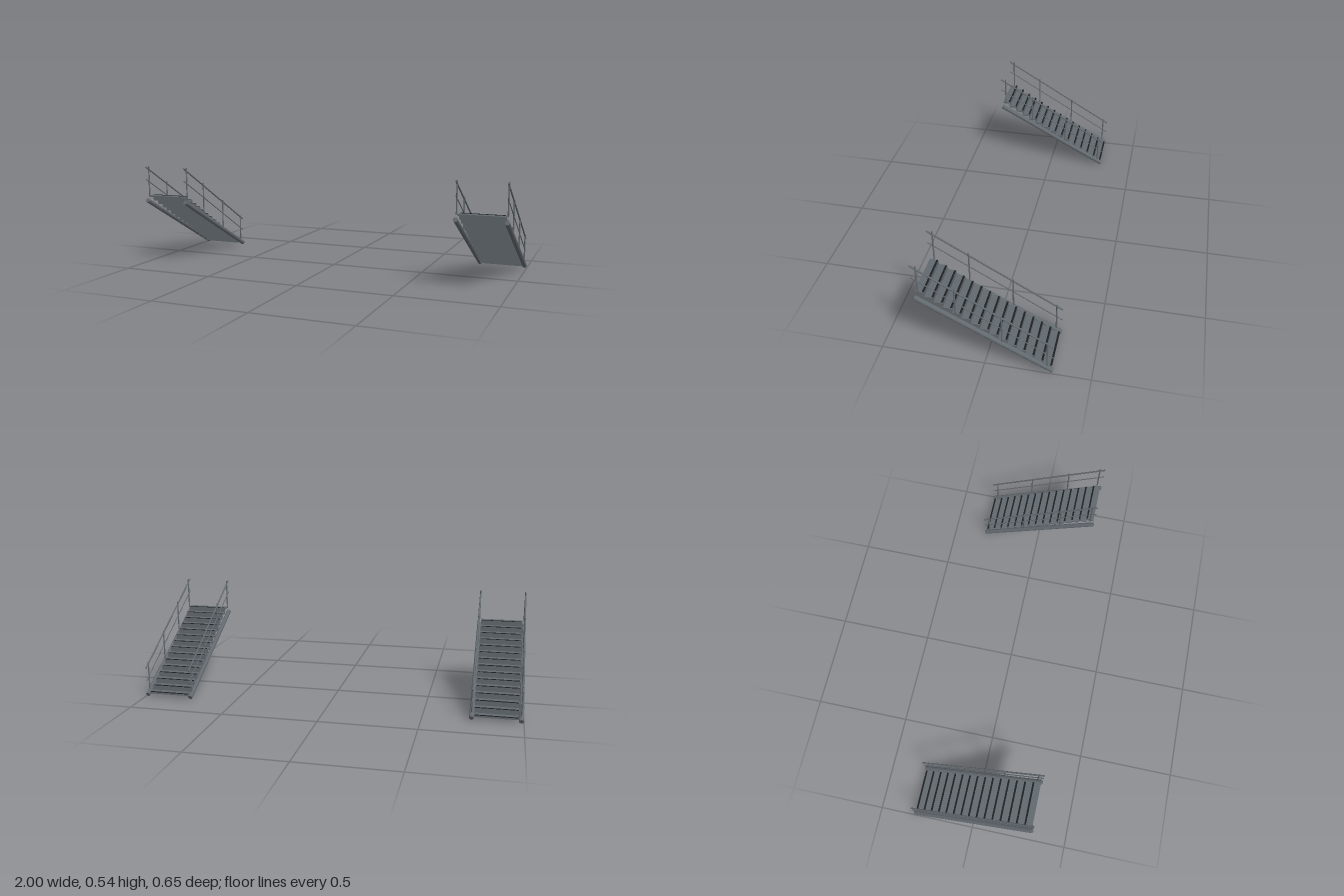
import * as THREE from 'three';

const steel = new THREE.MeshStandardMaterial({ color: 0x62696f });
steel.name = 'steel grey';
steel.flatShading = true;
const grip = new THREE.MeshStandardMaterial({ color: 0x1e2022 });
grip.name = 'grip black';

const HALF = 0.1215; // half distance between the two stringers
const STEPS = 15, RUN = 0.0418, RISE = 0.025;
const TOP_Z = 0.3135, TOP_Y = 0.376;
const WIDTH = 0.225, THICK = 0.009;

function box(name, w, h, d, x, y, z, material = steel) {
  const mesh = new THREE.Mesh(new THREE.BoxGeometry(w, h, d), material);
  mesh.name = name;
  mesh.position.set(x, y, z);
  return mesh;
}

// Round bar in the plane x, from (y0, z0) to (y1, z1)
function bar(name, radius, x, y0, z0, y1, z1, sides = 8) {
  const a = new THREE.Vector3(x, y0, z0), b = new THREE.Vector3(x, y1, z1);
  const mesh = new THREE.Mesh(new THREE.CylinderGeometry(radius, radius, a.distanceTo(b), sides), steel);
  mesh.name = name;
  mesh.position.copy(a).add(b).multiplyScalar(0.5);
  mesh.quaternion.setFromUnitVectors(new THREE.Vector3(0, 1, 0), b.sub(a).normalize());
  return mesh;
}

function createStair() {
  const stair = new THREE.Group();

  // Treads climb towards +z, each with a riser and a dark nosing on its lower edge
  for (let i = 0; i < STEPS; i++) {
    const y = TOP_Y - i * RISE, z = TOP_Z - i * RUN;
    stair.add(box('tread', WIDTH, THICK, RUN, 0, y - THICK / 2, z - RUN / 2));
    stair.add(box('nosing', WIDTH - 0.01, 0.002, 0.009, 0, y + 0.0005, z - RUN + 0.0045, grip));
    if (i < STEPS - 1) {
      stair.add(box('riser', WIDTH, RISE - THICK, 0.004, 0, y - (RISE + THICK) / 2, z - RUN + 0.002));
    }
  }

  // Stringers and handrails on both sides
  const posts = [[0.295, 0.372, 0.536], [0.127, 0.272, 0.434], [-0.083, 0.149, 0.309], [-0.293, 0.026, 0.186]];
  for (const x of [-HALF, HALF]) {
    stair.add(bar('stringer', 0.0122, x, 0.349, 0.3165, 0.0117, -0.318, 10));
    stair.add(bar('handrail', 0.0042, x, 0.534, 0.322, 0.161, -0.322));
    stair.add(bar('middleRail', 0.0026, x, 0.466, 0.322, 0.093, -0.322));
    for (const [z, y0, y1] of posts) stair.add(bar('post', 0.0038, x, y0, z, y1, z));
  }
  return stair;
}

export function createModel() {
  const model = new THREE.Group();
  model.name = 'pairOfStairs';
  for (const [name, x] of [['leftStair', 0.8663], ['rightStair', -0.8663]]) {
    const stair = createStair();
    stair.name = name;
    stair.position.x = x;
    model.add(stair);
  }
  return model;
}
